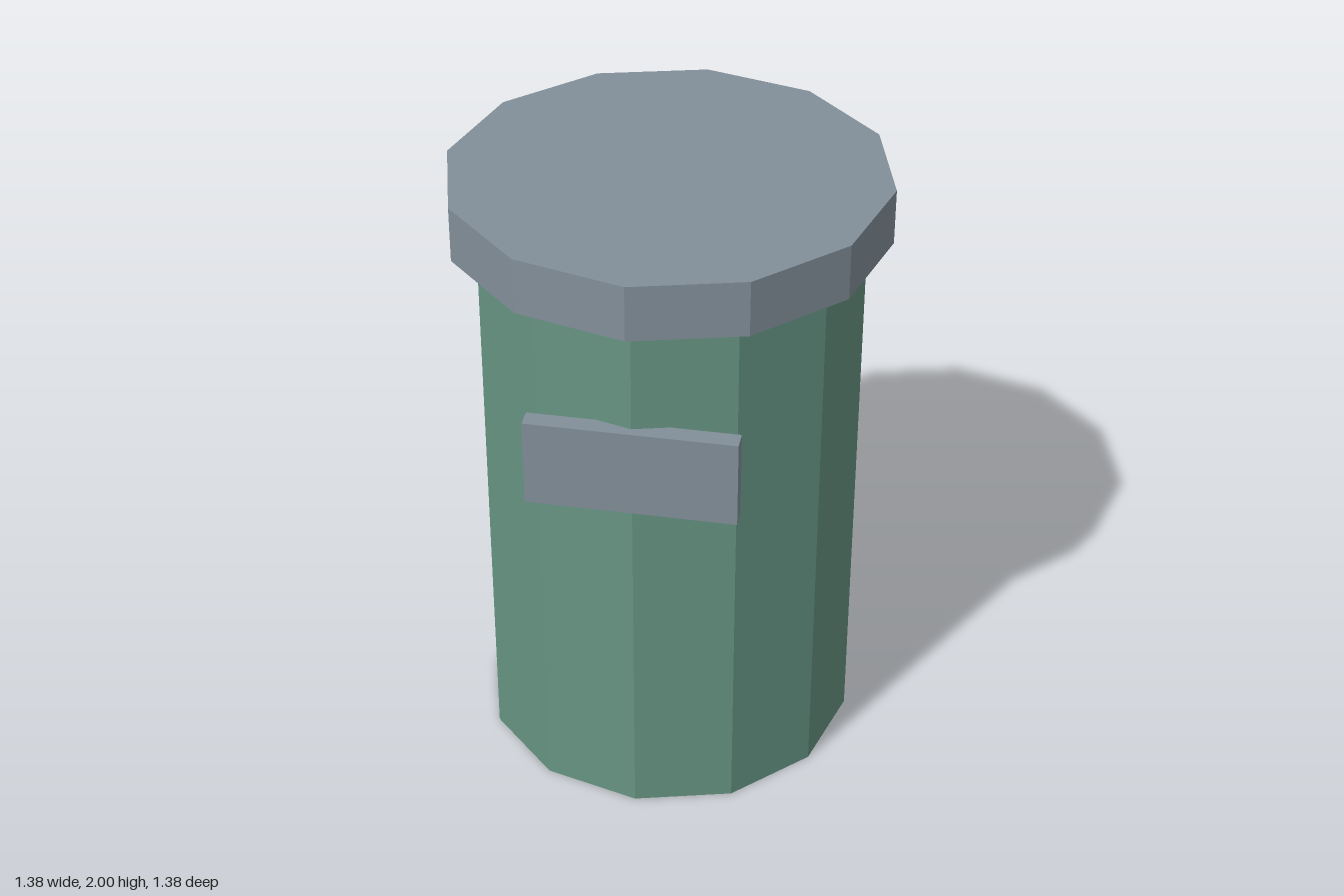
import * as THREE from 'three';

const SIDES = 12;

export function createModel() {
  const model = new THREE.Group();
  model.name = 'litterBin';

  const green = new THREE.MeshStandardMaterial({ color: 0x669483 });
  green.name = 'green';
  green.flatShading = true;
  const grey = new THREE.MeshStandardMaterial({ color: 0x828f99 });
  grey.name = 'blue grey';
  grey.flatShading = true;

  const add = (name, geometry, material, y, z = 0) => {
    const mesh = new THREE.Mesh(geometry, material);
    mesh.name = name;
    mesh.position.set(0, y, z);
    model.add(mesh);
  };

  // Twelve-sided body standing on the ground
  add('body', new THREE.CylinderGeometry(0.61, 0.61, 1.82, SIDES), green, 0.91);

  // Overhanging lid
  add('lid', new THREE.CylinderGeometry(0.69, 0.69, 0.18, SIDES), grey, 1.91);

  // Flat plate set into the front
  add('frontPlate', new THREE.BoxGeometry(0.65, 0.285, 0.06), grey, 1.322, 0.61);

  return model;
}
